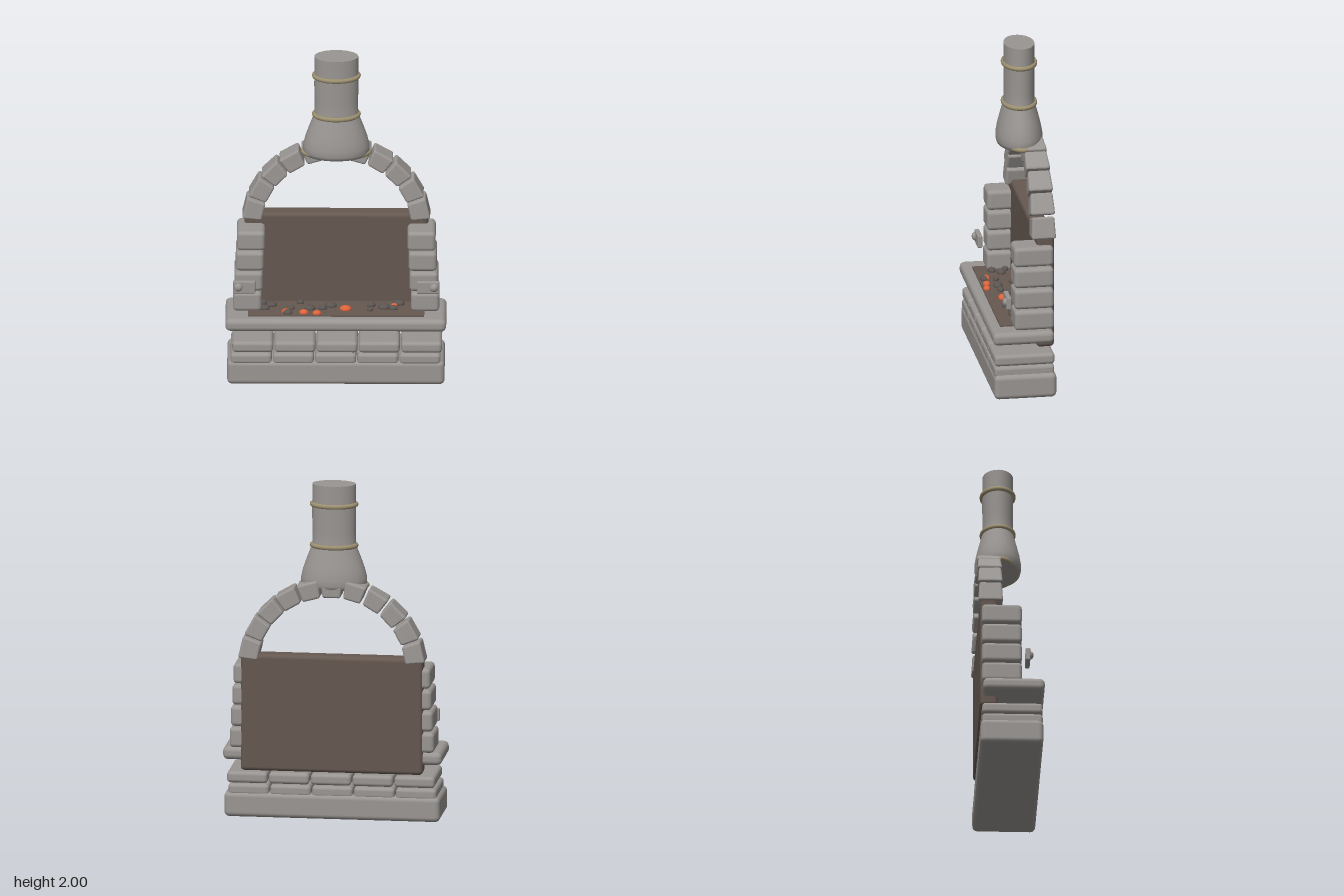
import * as THREE from 'three';
import { RoundedBoxGeometry } from 'three/addons/geometries/RoundedBoxGeometry.js';

export function createModel() {
  const model = new THREE.Group();
  model.name = 'fireplace';
  const material = (name, color) => {
    const m = new THREE.MeshStandardMaterial({ color });
    m.name = name;
    return m;
  };
  const stone = material('stone', 0x999592);
  const soot = material('sootyBrick', 0x655850);
  const coal = material('coal', 0x5c5552);
  const ember = material('ember', 0xdc643c);
  const brass = material('brass', 0x9c9070);

  const add = (name, geometry, mat, x = 0, y = 0, z = 0) => {
    const mesh = new THREE.Mesh(geometry, mat);
    mesh.name = name;
    mesh.position.set(x, y, z);
    model.add(mesh);
    return mesh;
  };
  // Rounded block given by its extents
  const block = (name, mat, x0, x1, y0, y1, z0, z1, r) =>
    add(name, new RoundedBoxGeometry(x1 - x0, y1 - y0, z1 - z0, 3, r), mat,
      (x0 + x1) / 2, (y0 + y1) / 2, (z0 + z1) / 2);

  // Plinth and two courses of bricks
  block('plinth', stone, -0.64, 0.637, 0, 0.15, -0.18, 0.19, 0.03);
  for (let i = 0; i < 5; i++) {
    const x = -0.62 + i * 0.248;
    block('lowerBrick', stone, x, x + 0.242, 0.13, 0.198, -0.17, 0.187, 0.022);
    block('upperBrick', stone, x + 0.01, x + 0.25, 0.203, 0.271, -0.17, 0.187, 0.022);
  }

  // Hearth slab, its sooty floor and the back wall
  block('hearthSlab', stone, -0.65, 0.647, 0.34, 0.417, -0.165, 0.198, 0.03);
  add('hearthFloor', new THREE.BoxGeometry(1.035, 0.009, 0.24), soot, 0, 0.4205, 0.02);
  block('backWall', soot, -0.54, 0.54, 0.282, 0.985, -0.18, -0.075, 0.025);

  // Pillars, leaning slightly inward, with a bracket and knob on each
  for (const s of [-1, 1]) {
    for (let i = 0; i < 4; i++) {
      const w = i < 2 ? 0.168 : 0.165;
      const y = 0.415 + i * 0.1285;
      const x = s * (0.522 - i * 0.007);
      block('pillarStone', stone, x - w / 2, x + w / 2, y, y + 0.121, -0.17, 0.065, 0.024);
    }
    block('bracket', stone, s * 0.54 - 0.065, s * 0.54 + 0.065, 0.552, 0.627, 0.086, 0.114, 0.006);
    const knob = add('knob', new THREE.SphereGeometry(0.025, 16, 12), stone, s * 0.575, 0.592, 0.114);
    knob.scale.z = 0.8;
  }

  // Arch of wedge stones along an ellipse
  for (let i = 0; i < 11; i++) {
    const a = THREE.MathUtils.degToRad(12.5 + i * 15.5);
    const radial = 0.118 - 0.014 * Math.sin(a);
    const geometry = new RoundedBoxGeometry(radial, 0.128, 0.143, 3, 0.014);
    const p = geometry.attributes.position;
    for (let k = 0; k < p.count; k++) {
      // Narrower towards the centre, and pinched in depth at the upper end
      const t = p.getY(k) / 0.064;
      p.setY(k, p.getY(k) * (0.93 + p.getX(k) * 2.1));
      p.setZ(k, p.getZ(k) * (0.97 - 0.05 * t * (i < 5 ? 1 : i > 5 ? -1 : 0)));
    }
    geometry.computeVertexNormals();
    const x = Math.cos(a), y = Math.sin(a);
    const voussoir = add('archStone', geometry, stone, 0.495 * x, 0.91 + 0.478 * y, -0.117);
    voussoir.rotation.z = Math.atan2(y / 0.478, x / 0.495);
  }

  // Oval chimney flaring into a hood
  const outline = [
    [0.17, 1.382], [0.186, 1.382], [0.196, 1.405], [0.195, 1.44], [0.183, 1.49],
    [0.162, 1.55], [0.139, 1.61], [0.129, 1.64], [0.128, 1.72], [0.13, 1.82],
    [0.129, 1.9], [0.129, 2],
  ].map(([r, y]) => new THREE.Vector2(r, y));
  const chimney = add('chimney', new THREE.LatheGeometry(outline, 40), stone, 0, 0, -0.055);
  chimney.scale.z = 0.7;
  const hoodBase = add('hoodUnderside', new THREE.CircleGeometry(0.172, 40), stone, 0, 1.383, -0.055);
  hoodBase.rotation.x = Math.PI / 2;
  hoodBase.scale.y = 0.7;
  const cap = add('chimneyTop', new THREE.CircleGeometry(0.129, 40), stone, 0, 2, -0.055);
  cap.rotation.x = -Math.PI / 2;
  cap.scale.y = 0.7;

  // Oval bands around the chimney and under the hood
  for (const [y, rx, rz] of [[1.878, 0.13, 0.096], [1.632, 0.13, 0.096], [1.394, 0.196, 0.105]]) {
    const band = add('chimneyBand', new THREE.TorusGeometry(rx, 0.014, 10, 48), brass, 0, y, -0.055);
    band.rotation.x = Math.PI / 2;
    band.scale.y = rz / rx;
  }

  // Coals and embers: x, z, radius
  const lumps = (name, mat, list) => {
    for (const [x, z, r] of list) {
      const lump = add(name, new THREE.SphereGeometry(r, 14, 10), mat, x, 0.43, z);
      lump.scale.set(1, 0.02 / r * 0.6 + 0.25, 0.8);
    }
  };
  lumps('coal', coal, [
    [-0.38, -0.01, 0.033], [-0.42, 0.04, 0.03], [-0.265, 0.04, 0.022], [-0.155, 0.045, 0.033],
    [-0.21, -0.045, 0.022], [-0.285, 0.107, 0.03], [-0.03, 0.0, 0.033], [-0.08, 0.04, 0.025],
    [0.205, -0.007, 0.026], [0.28, 0.025, 0.036], [0.335, 0.04, 0.026], [0.2, 0.063, 0.018],
    [0.365, -0.035, 0.037], [-0.43, -0.04, 0.025],
  ]);
  lumps('ember', ember, [
    [-0.292, 0.096, 0.03], [-0.19, 0.107, 0.028], [-0.113, 0.118, 0.026],
    [0.34, 0.003, 0.02], [0.055, 0.05, 0.035],
  ]);

  return model;
}
